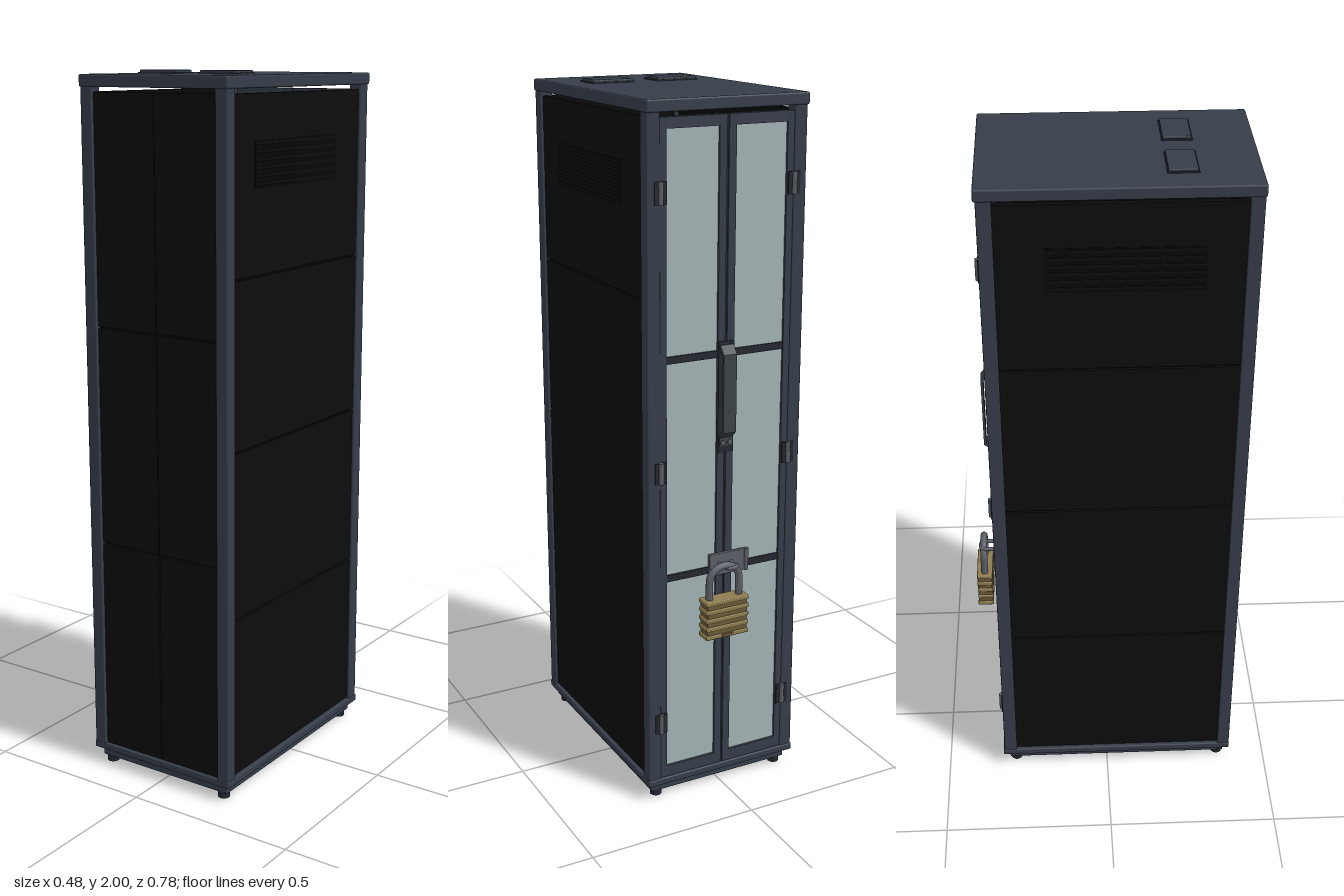
import * as THREE from 'three';
import { RoundedBoxGeometry } from 'three/addons/geometries/RoundedBoxGeometry.js';

const mat = (name, color) => {
  const m = new THREE.MeshStandardMaterial({ color });
  m.name = name;
  return m;
};

export function createModel() {
  const root = new THREE.Group();
  root.name = 'serverCabinet';
  const frame = mat('slateFrame', 0x363d49);
  const dark = mat('darkTrim', 0x23272e);
  const black = mat('blackPanel', 0x0d0d0d);
  const groove = mat('grooveBlack', 0x060606);
  const glass = mat('paleGlass', 0xa3b3b5);
  const steel = mat('steel', 0x5b6067);
  const grip = mat('handleGrey', 0x3c4247);
  const brass = mat('brass', 0x8f7d50);
  const brassDark = mat('darkBrass', 0x6a5a36);

  const add = (name, geo, m, parent = root) => {
    const mesh = new THREE.Mesh(geo, m);
    mesh.name = name;
    parent.add(mesh);
    return mesh;
  };
  // box given by its min and max on each axis, optionally with softened edges
  const box = (name, m, x0, x1, y0, y1, z0, z1, r = 0, parent = root) => {
    const w = x1 - x0, h = y1 - y0, d = z1 - z0;
    const geo = r ? new RoundedBoxGeometry(w, h, d, 2, r) : new THREE.BoxGeometry(w, h, d);
    const mesh = add(name, geo, m, parent);
    mesh.position.set((x0 + x1) / 2, (y0 + y1) / 2, (z0 + z1) / 2);
    return mesh;
  };

  // lid, base, plinth and feet
  box('lid', frame, -0.241, 0.241, 1.957, 1.99, -0.331, 0.39, 0.005);
  box('base', frame, -0.24, 0.24, 0.045, 0.066, -0.328, 0.388, 0.004);
  box('plinth', frame, -0.222, 0.222, 0.018, 0.046, -0.308, 0.37, 0.003);
  for (const x of [-0.2, 0.2]) for (const z of [-0.288, 0.352]) {
    add('foot', new THREE.CylinderGeometry(0.017, 0.017, 0.02, 20), dark).position.set(x, 0.01, z);
  }

  // raised cable covers on the lid
  for (const s of [-1, 1]) {
    box('cableCoverRim', dark, s * 0.1 - 0.064, s * 0.1 + 0.064, 1.989, 1.994, 0.149, 0.23);
    box('cableCover', frame, s * 0.1 - 0.061, s * 0.1 + 0.061, 1.989, 2, 0.152, 0.227, 0.003);
  }

  // corner posts
  for (const s of [-1, 1]) for (const [z0, z1] of [[-0.325, -0.286], [0.35, 0.387]]) {
    const x0 = s < 0 ? -0.238 : 0.2;
    box('cornerPost', frame, x0, x0 + 0.038, 0.06, 1.96, z0, z1, 0.004);
  }

  // side panels in four sections, with a louvred vent near the top
  const seams = [0.066, 0.53, 1.005, 1.47, 1.944];
  for (const s of [-1, 1]) {
    const slab = (name, m, a, b, y0, y1, z0, z1) =>
      box(name, m, Math.min(s * a, s * b), Math.max(s * a, s * b), y0, y1, z0, z1);
    slab('sideBacking', groove, 0.212, 0.222, 0.066, 1.944, -0.29, 0.352);
    for (let i = 0; i < 4; i++) {
      slab('sidePanel', black, 0.22, 0.23, seams[i] + 0.003, seams[i + 1] - (i < 3 ? 0.003 : 0), -0.288, 0.351);
    }
    slab('sideVent', groove, 0.229, 0.231, 1.7, 1.825, -0.16, 0.25);
    for (let i = 0; i < 6; i++) {
      const y = 1.707 + i * 0.021;
      slab('ventSlat', black, 0.23, 0.233, y, y + 0.008, -0.155, 0.245);
    }
  }

  // double doors: both have a centre joint and bars at two heights
  const bars = [0.685, 1.31];
  const rows = [0.066, ...bars, 1.944];
  box('frontBacking', groove, -0.2, 0.2, 0.066, 1.944, 0.358, 0.368);
  for (const s of [-1, 1]) {
    const span = (a, b) => [Math.min(s * a, s * b), Math.max(s * a, s * b)];
    for (let i = 0; i < 3; i++) {
      box('frontDoorPanel', black, ...span(0.002, 0.201),
        rows[i] + (i ? 0.003 : 0), rows[i + 1] - (i < 2 ? 0.003 : 0), 0.366, 0.378);
    }

    // glazed rear door
    box('rearDoorStile', frame, ...span(0.18, 0.201), 0.066, 1.944, -0.322, -0.3);
    box('rearMeetingStile', frame, ...span(0.003, 0.025), 0.066, 1.944, -0.322, -0.3);
    for (const [y0, y1] of [[0.066, 0.1], [1.915, 1.944]]) {
      box('rearDoorRail', frame, ...span(0.025, 0.18), y0, y1, -0.322, -0.3);
    }
    for (const y of bars) box('rearDoorBar', dark, ...span(0.025, 0.18), y - 0.01, y + 0.01, -0.32, -0.302);
    box('rearGlass', glass, ...span(0.024, 0.181), 0.098, 1.917, -0.315, -0.307);

    // hinges
    for (const y of [0.243, 1, 1.755]) {
      box('hingeLeaf', dark, ...span(0.182, 0.218), y - 0.03, y + 0.03, -0.328, -0.32);
      add('hingePin', new THREE.CylinderGeometry(0.007, 0.007, 0.06, 14), steel)
        .position.set(s * 0.2, y, -0.328);
    }
  }
  box('rearDoorJoint', dark, -0.004, 0.004, 0.066, 1.944, -0.318, -0.302);

  // bent strap handle on the rear door, with its lock below
  const profile = new THREE.Shape([
    [0.32, 1.05], [0.328, 1.05], [0.328, 1.075], [0.347, 1.092], [0.347, 1.312], [0.328, 1.335],
    [0.32, 1.335], [0.32, 1.327], [0.325, 1.325], [0.34, 1.306], [0.34, 1.097], [0.323, 1.08],
  ].map(([z, y]) => new THREE.Vector2(z, y)));
  const handle = add('doorHandle', new THREE.ExtrudeGeometry(profile, { depth: 0.04, bevelEnabled: false }), grip);
  handle.rotation.y = Math.PI / 2;
  handle.position.set(-0.02, 0, 0);
  box('handlePlate', dark, -0.024, 0.024, 1.03, 1.345, -0.325, -0.32);
  for (const x of [-0.011, 0.011]) {
    const lock = add('lockBarrel', new THREE.CylinderGeometry(0.007, 0.007, 0.012, 16), steel);
    lock.rotation.x = Math.PI / 2;
    lock.position.set(x, 1.06, -0.326);
  }

  // hasp with a knuckle and a projecting staple
  box('haspPlate', steel, -0.065, 0.05, 0.67, 0.735, -0.332, -0.321, 0.002);
  add('haspKnuckle', new THREE.CylinderGeometry(0.007, 0.007, 0.065, 14), steel).position.set(-0.068, 0.7025, -0.33);
  const staplePath = new THREE.CatmullRomCurve3([
    [-0.018, -0.328], [-0.018, -0.36], [-0.011, -0.374], [0.013, -0.374], [0.02, -0.36], [0.02, -0.328],
  ].map(([x, z]) => new THREE.Vector3(x, 0.705, z)), false, 'catmullrom', 0.3);
  add('haspStaple', new THREE.TubeGeometry(staplePath, 32, 0.006, 10), steel);

  // laminated padlock
  const padlock = new THREE.Group();
  padlock.name = 'padlock';
  padlock.position.set(0.023, 0.505, -0.367);
  root.add(padlock);
  for (let i = 0; i < 9; i++) {
    const wide = i % 2 === 0, w = wide ? 0.0675 : 0.063, d = wide ? 0.0235 : 0.0205;
    box('padlockLayer', wide ? brass : brassDark, -w, w, i * 0.0128, (i + 1) * 0.0128, -d, d, wide ? 0.003 : 0, padlock);
  }
  box('padlockBumper', brassDark, -0.018, 0.018, 0.004, 0.012, -0.0255, 0, 0, padlock);
  const shackle = new THREE.CurvePath();
  const v = (x, y) => new THREE.Vector3(x, y, 0);
  shackle.add(new THREE.LineCurve3(v(-0.047, 0.1), v(-0.047, 0.165)));
  shackle.add(new THREE.CubicBezierCurve3(v(-0.047, 0.165), v(-0.047, 0.222), v(0.047, 0.222), v(0.047, 0.165)));
  shackle.add(new THREE.LineCurve3(v(0.047, 0.165), v(0.047, 0.1)));
  add('padlockShackle', new THREE.TubeGeometry(shackle, 48, 0.0105, 14), steel, padlock);

  return root;
}
